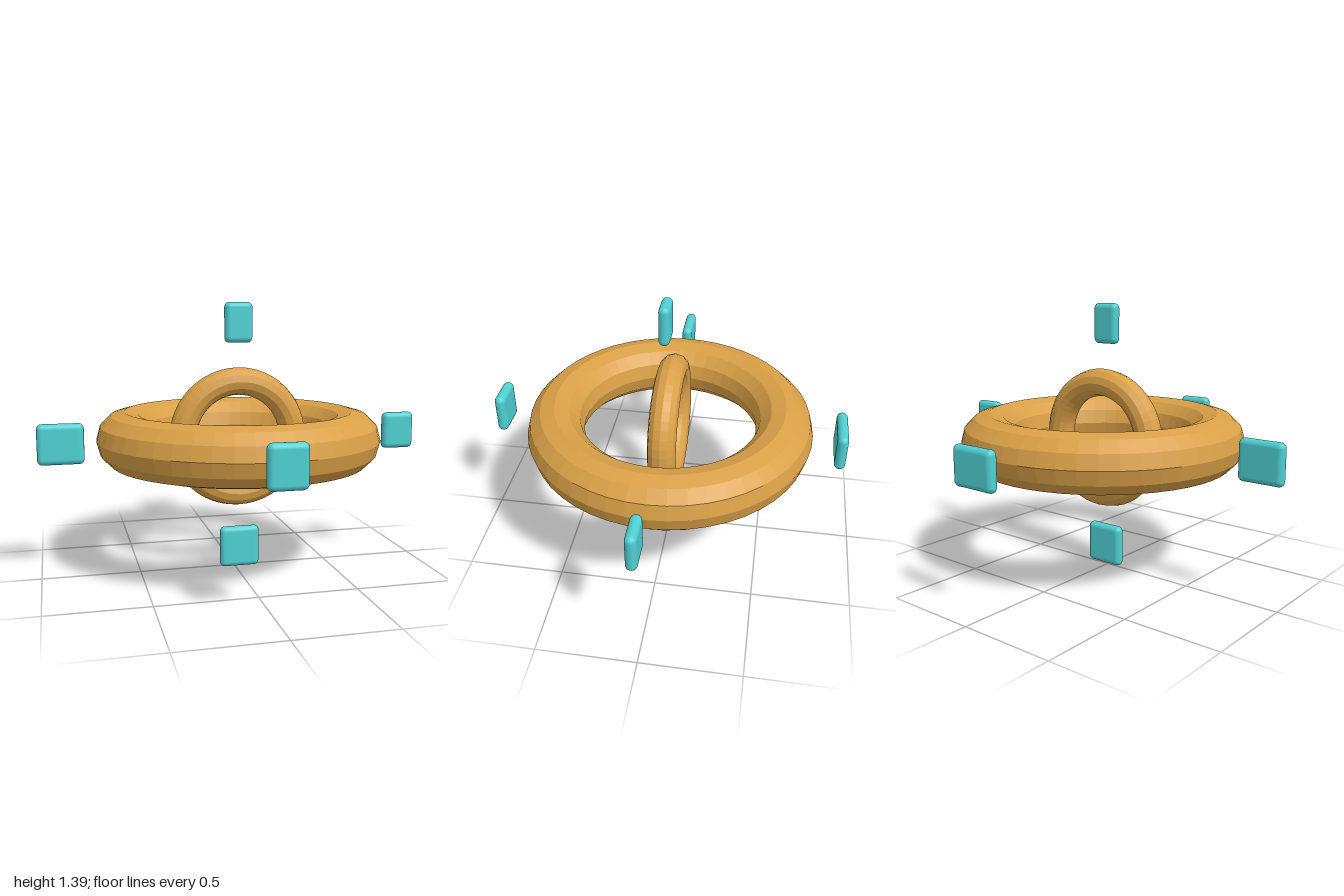
import * as THREE from 'three';
import { RoundedBoxGeometry } from 'three/addons/geometries/RoundedBoxGeometry.js';

const CENTER = [0.023, 0.69, -0.008];

export function createModel() {
  const model = new THREE.Group();
  const gold = new THREE.MeshStandardMaterial({ color: 0xd9a047, flatShading: true });
  const teal = new THREE.MeshStandardMaterial({ color: 0x4fd0d3 });

  function add(name, geometry, material, position) {
    const mesh = new THREE.Mesh(geometry, material);
    mesh.name = name;
    mesh.position.set(...position);
    model.add(mesh);
    return mesh;
  }

  // Two concentric rings: a wide one lying flat, a slim one standing inside it
  const outer = add('outerRing', new THREE.TorusGeometry(0.587, 0.145, 12, 48), gold, CENTER);
  outer.rotation.x = Math.PI / 2;
  add('innerRing', new THREE.TorusGeometry(0.292, 0.071, 12, 48), gold, CENTER);

  // Plain rounded direction markers: name, centre, width, height
  const markers = [
    ['topMarker', [0.018, 1.283, 0.015], 0.145, 0.205],
    ['bottomMarker', [0.024, 0.108, 0.015], 0.21, 0.216],
    ['rightMarker', [-0.885, 0.69, 0.015], 0.23, 0.205],
    ['leftMarker', [0.908, 0.7, 0.015], 0.175, 0.195],
    ['frontMarker', [0.02, 0.704, 0.877], 0.185, 0.205],
    ['backMarker', [0.038, 0.69, -0.88], 0.25, 0.195],
  ];
  for (const [name, position, width, height] of markers) {
    add(name, new RoundedBoxGeometry(width, height, 0.055, 5, 0.027), teal, position);
  }

  return model;
}
